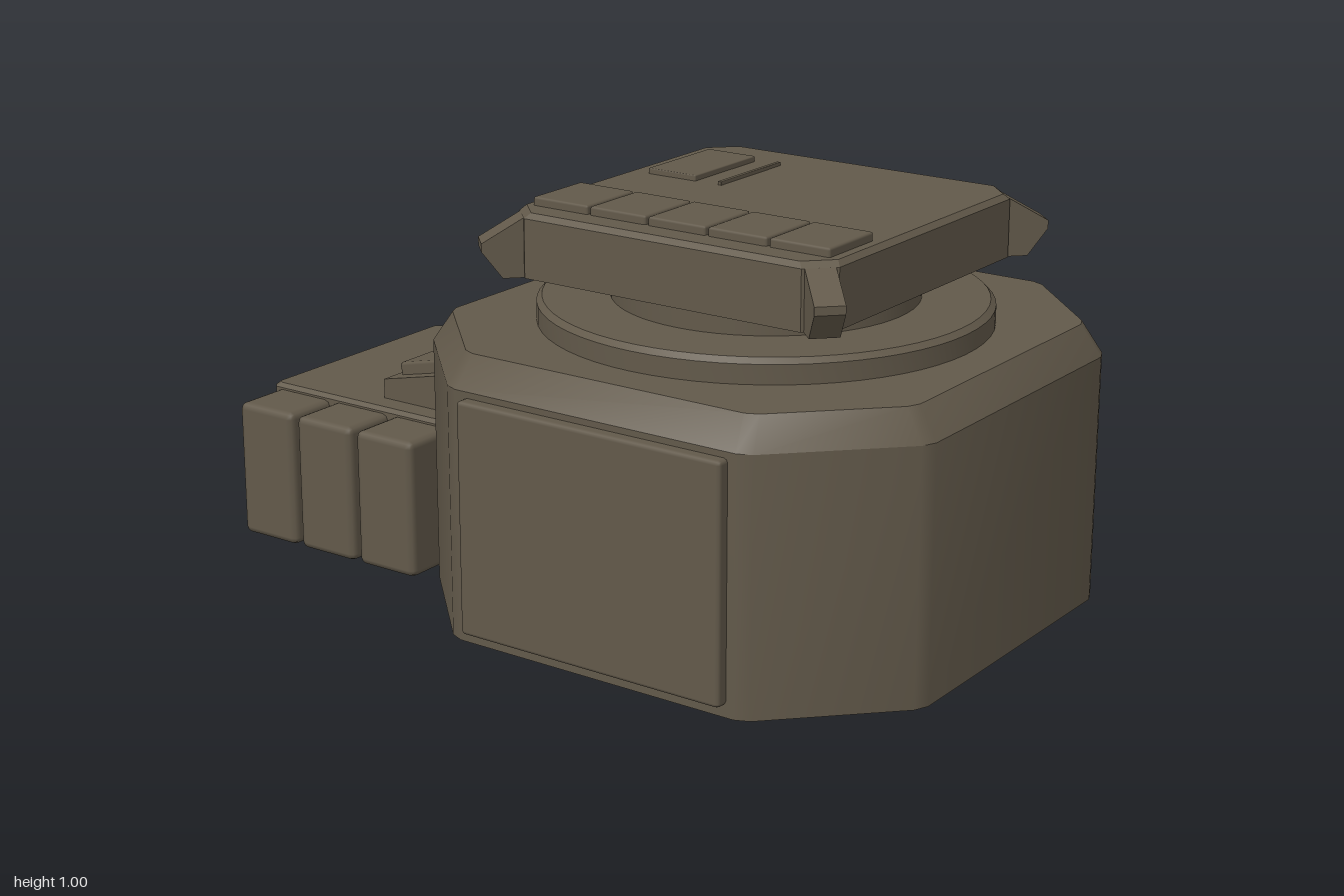
import * as THREE from 'three';
import { toCreasedNormals } from 'three/addons/utils/BufferGeometryUtils.js';
import { RoundedBoxGeometry } from 'three/addons/geometries/RoundedBoxGeometry.js';

const CZ = 0.305; // centre of the main body along z

// Rectangle outline whose corners are cut by a list of insets, mirrored to four corners
function outline(hx, hz, insets) {
  const pts = [];
  for (const [sx, sz] of [[1, 1], [-1, 1], [-1, -1], [1, -1]]) {
    const list = sx * sz > 0 ? insets : [...insets].reverse();
    for (const [ix, iz] of list) pts.push([sx * (hx - ix), sz * (hz - iz)]);
  }
  return pts;
}

// Skin stacked outlines into a shell with a flat top and an optional floor
function loft(layers, floor = false) {
  const pos = [], idx = [], n = layers[0].pts.length;
  for (const { y, pts } of layers) for (const [x, z] of pts) pos.push(x, y, z);
  for (let l = 0; l < layers.length - 1; l++) {
    for (let i = 0; i < n; i++) {
      const a = l * n + i, b = l * n + (i + 1) % n;
      idx.push(a, a + n, b, b, a + n, b + n);
    }
  }
  const t = (layers.length - 1) * n;
  for (let i = 1; i < n - 1; i++) {
    idx.push(t, t + i + 1, t + i);
    if (floor) idx.push(0, i, i + 1);
  }
  const g = new THREE.BufferGeometry();
  g.setAttribute('position', new THREE.Float32BufferAttribute(pos, 3));
  g.setIndex(idx);
  return toCreasedNormals(g, 0.5);
}

function extrude(points, width) {
  const shape = new THREE.Shape(points.map(([x, y]) => new THREE.Vector2(x, y)));
  return new THREE.ExtrudeGeometry(shape, { depth: width, bevelEnabled: false }).translate(0, 0, -width / 2);
}

export function createModel() {
  const model = new THREE.Group();
  const metal = new THREE.MeshStandardMaterial({ color: 0x62594a, side: THREE.DoubleSide });
  metal.name = 'olive brown metal';

  const add = (name, geometry, x = 0, y = 0, z = 0) => {
    const mesh = new THREE.Mesh(geometry, metal);
    mesh.name = name;
    mesh.position.set(x, y, z);
    model.add(mesh);
    return mesh;
  };
  // Box with softened edges, given by its limits
  const block = (name, [x0, x1], [y0, y1], [z0, z1], r) =>
    add(name, new RoundedBoxGeometry(x1 - x0, y1 - y0, z1 - z0, 1, r),
      (x0 + x1) / 2, (y0 + y1) / 2, (z0 + z1) / 2);

  // Hollow octagonal body, open underneath
  const cut = [[0, 0.31], [0.015, 0.275], [0.275, 0.015], [0.31, 0]];
  const wall = outline(0.695, 0.695, cut);
  const rim = outline(0.645, 0.645, cut.map(p => p.map(v => v * 0.88)));
  add('body', loft([{ y: 0, pts: wall }, { y: 0.615, pts: wall }, { y: 0.69, pts: rim }]), 0, 0, CZ);

  // Side panels
  for (const s of [-1, 1]) {
    const xs = s > 0 ? [0.685, 0.725] : [-0.725, -0.685];
    block('sidePanel', xs, [0.03, 0.6], [-0.055, 0.67], 0.01);
  }

  // Round turntable and neck
  const profile = [[0.545, 0.68], [0.545, 0.737], [0.532, 0.75], [0.37, 0.75], [0.37, 0.83]]
    .map(([r, y]) => new THREE.Vector2(r, y));
  add('turntable', toCreasedNormals(new THREE.LatheGeometry(profile, 64), 0.5), 0, 0, CZ);

  // Square hatch plate with cut corners
  const hatchCut = [[0, 0.06], [0.06, 0]];
  const hatch = outline(0.44, 0.44, hatchCut);
  add('hatch', loft([
    { y: 0.82, pts: hatch }, { y: 0.963, pts: hatch }, { y: 0.976, pts: outline(0.428, 0.428, hatchCut) },
  ], true), 0, 0, CZ);

  // Latches on the hatch corners
  const latch = extrude([[-0.06, 0.82], [0.05, 0.82], [0.099, 0.885], [0.099, 0.905], [0, 0.963], [-0.06, 0.963]], 0.07);
  latch.translate(0.58, 0, 0);
  for (let k = 0; k < 4; k++) add('cornerLatch', latch, 0, 0, CZ).rotation.y = Math.PI / 4 + k * Math.PI / 2;

  // Row of vents, small cover and bar on the hatch
  for (let k = 0; k < 5; k++) {
    const z = -0.105 + k * 0.1645;
    block('vent', [-0.367, -0.185], [0.965, 0.997], [z, z + 0.158], 0.006);
  }
  block('hatchCover', [0.05, 0.31], [0.965, 0.99], [-0.075, 0.065], 0.003);
  block('hatchBar', [0.05, 0.31], [0.97, 0.985], [0.13, 0.141], 0.002);

  // Rear pack, open underneath
  const edge = [[0, 0.012], [0.012, 0]];
  const pack = outline(0.33, 0.308, edge);
  add('rearPack', loft([
    { y: 0, pts: pack }, { y: 0.36, pts: pack }, { y: 0.37, pts: outline(0.32, 0.298, edge) },
  ]), 0, 0, -0.692);

  // Three cells on each side of the pack
  for (const s of [-1, 1]) {
    for (const z of [-0.502, -0.698, -0.893]) {
      const xs = s > 0 ? [0.315, 0.475] : [-0.475, -0.315];
      block('packCell', xs, [0.003, 0.356], [z - 0.09, z + 0.09], 0.018);
    }
  }

  // Sloped console with two pads
  const console = extrude([[0.38, 0.36], [0.675, 0.36], [0.675, 0.42], [0.38, 0.487]], 0.53);
  add('console', console.rotateY(Math.PI / 2));
  for (const s of [-1, 1]) {
    const pad = new RoundedBoxGeometry(0.21, 0.045, 0.222, 1, 0.008);
    add('consolePad', pad, s * 0.122, 0.46, -0.543).rotation.x = -0.225;
  }

  return model;
}
